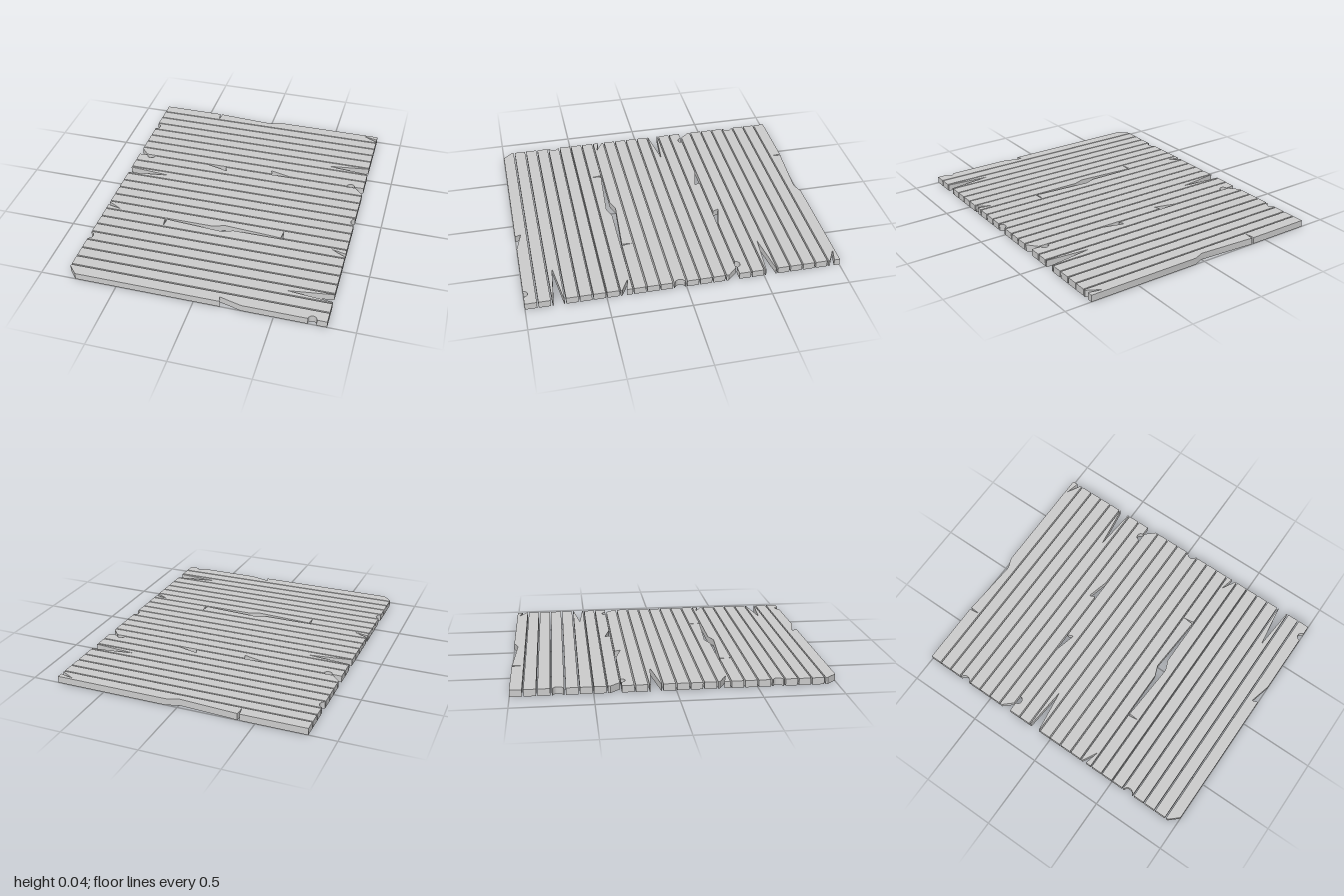
import * as THREE from 'three';
import { toCreasedNormals } from 'three/addons/utils/BufferGeometryUtils.js';

const HALF = 0.825;   // half the plank length
const THICK = 0.044;
const GAP = 0.009;
const COUNT = 24;
const PITCH = (2 + GAP) / COUNT;
const W = PITCH - GAP; // plank width

// Points of a round bite, swept between two angles
function bite(cx, cy, r, from, to, steps = 12) {
  return Array.from({ length: steps + 1 }, (_, i) => {
    const a = from + ((to - from) * i) / steps;
    return [cx + r * Math.cos(a), cy + r * Math.sin(a)];
  });
}

// Damage per plank in a bundle of eight; each list follows one edge of the outline
const damage = {
  0: {
    back: [[-0.402, 0], [-0.393, 0.07], [-0.388, 0], [-0.35, 0.004], [0, 0.027], [0.07, 0]],
    right: [[HALF, 0.037], [0.73, 0.014], [HALF, 0.065]],
  },
  3: { left: bite(-HALF - 0.008, W / 2, 0.033, 1.32, -1.32) },
  5: { right: [[HALF, 0.004], [0.54, 0.043], [HALF, 0.068]] },
  7: {
    front: [...bite(0.735, W, 0.027, 0, -Math.PI), [0.30, W], [0.155, W - 0.038], [0.17, W]],
    frontLeft: [[-0.77, W], [-HALF, 0.014]],
  },
};

function plankGeometry(index) {
  const d = damage[index] || {};
  const outline = [
    [-HALF, 0], ...(d.back || []),
    [HALF, 0], ...(d.right || []),
    [HALF, W], ...(d.front || []),
    ...(d.frontLeft || [[-HALF, W]]), ...(d.left || []),
  ];
  const shape = new THREE.Shape(outline.map(([x, y]) => new THREE.Vector2(x, y)));
  const geo = new THREE.ExtrudeGeometry(shape, { depth: THICK, bevelEnabled: false });
  // Lay flat, centred on the plank's own width
  geo.translate(0, -W / 2, 0);
  geo.rotateX(Math.PI / 2);
  geo.translate(0, THICK, 0);
  return toCreasedNormals(geo, 0.5);
}

export function createModel() {
  const group = new THREE.Group();
  group.name = 'plankFloor';
  const material = new THREE.MeshStandardMaterial({ color: 0xcccccc });
  const kinds = Array.from({ length: 8 }, (_, i) => plankGeometry(i));

  // Three bundles of eight planks, the middle one turned half round
  for (let i = 0; i < COUNT; i++) {
    const turned = Math.floor(i / 8) === 1;
    const plank = new THREE.Mesh(kinds[turned ? 7 - (i % 8) : i % 8], material);
    plank.name = `plank${i + 1}`;
    plank.position.z = -1 + W / 2 + i * PITCH;
    if (turned) plank.rotation.y = Math.PI;
    group.add(plank);
  }
  return group;
}
